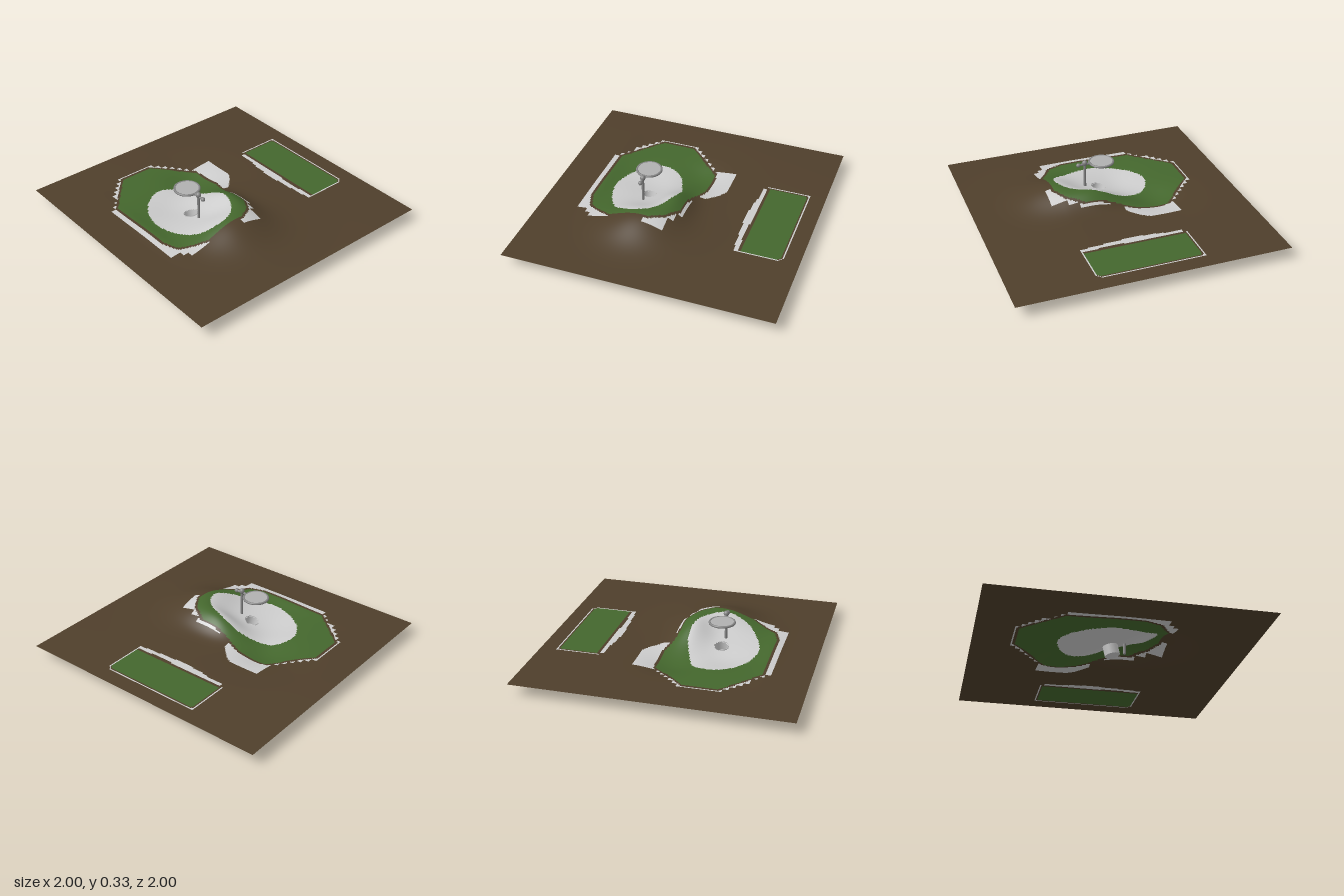
import * as THREE from 'three';

const STEP = 0.01, N = 200, BASE = 0.097;

const flat = (name, color) => {
  const m = new THREE.MeshStandardMaterial({ color, side: THREE.DoubleSide });
  m.name = name;
  return m;
};

// Hills and hollows: x, z, height, radius x, radius z behind, radius z in front
const BUMPS = [
  [-0.2, 0.36, 0.12, 0.27, 0.2, 0.26],
  [-0.03, 0.1, 0.1, 0.13, 0.2, 0.2],
  [0.01, -0.36, -0.043, 0.18, 0.17, 0.17],
  [-0.3, -0.18, -0.032, 0.22, 0.18, 0.17],
  [-0.66, 0, 0.015, 0.07, 0.3, 0.3],
];

function heightAt(x, z) {
  let y = BASE;
  for (const [cx, cz, h, rx, back, front] of BUMPS) {
    const rz = z < cz ? back : front;
    y += h * Math.exp(-(((x - cx) / rx) ** 2) - ((z - cz) / rz) ** 2);
  }
  return y;
}

// Outlines on the ground as x, z pairs
const GREEN = [[-0.41, -0.69], [-0.16, -0.69], [0.105, -0.44], [0.11, -0.2], [0.065, -0.04], [0.045, 0.08],
  [0.045, 0.2], [-0.03, 0.32], [-0.13, 0.38], [-0.43, 0.38], [-0.62, 0.27], [-0.66, 0.15], [-0.66, -0.4]];
const RIM = GREEN.map(([x, z]) => [-0.28 + (x + 0.28) * 1.05, -0.15 + (z + 0.15) * 1.03]);
const FRINGE = [[-0.44, -0.72], [-0.16, -0.72], [0.12, -0.47], [0.1, -0.1], [0.07, 0.24], [0, 0.36], [0, 0.44],
  [-0.16, 0.44], [-0.16, 0.4], [-0.52, 0.4], [-0.64, 0.36], [-0.64, 0.32], [-0.72, 0.32], [-0.72, -0.36], [-0.66, -0.44]];
const BUNKER = [[0.08, -0.48], [0.275, -0.48], [0.275, -0.25], [0.23, -0.17], [0.15, -0.09], [0.06, -0.09]];
const OVAL = [[-0.29, -0.4], [-0.15, -0.35], [-0.075, -0.19], [-0.03, -0.05], [-0.05, 0.13], [-0.14, 0.28],
  [-0.26, 0.33], [-0.42, 0.28], [-0.52, 0.13], [-0.56, -0.05], [-0.52, -0.21], [-0.42, -0.34]];
const TEE = [[0.57, -0.37], [0.58, -0.38], [0.85, -0.38], [0.86, -0.36], [0.86, 0.37], [0.84, 0.39], [0.57, 0.39]];
const TEE_RIM = [[0.55, -0.385], [0.865, -0.385], [0.87, 0.37], [0.85, 0.39], [0.55, 0.39], [0.54, 0.15], [0.55, 0]];
const TEE_FRINGE = [[0.55, -0.4], [0.88, -0.4], [0.88, 0.37], [0.84, 0.4], [0.52, 0.4], [0.5, 0.16], [0.49, 0],
  [0.5, -0.16], [0.52, -0.25], [0.52, -0.37], [0.55, -0.37]];

const smooth = (pts) => new THREE.CatmullRomCurve3(pts.map(([x, z]) => new THREE.Vector3(x, 0, z)), true)
  .getPoints(72).map((p) => [p.x, p.z]);
const OVAL_EDGE = smooth(OVAL);

function inside(poly, x, z) {
  let hit = false;
  for (let i = 0, j = poly.length - 1; i < poly.length; j = i++) {
    const [ax, az] = poly[i], [bx, bz] = poly[j];
    if ((az > z) !== (bz > z) && x < ((bx - ax) * (z - az)) / (bz - az) + ax) hit = !hit;
  }
  return hit;
}

const snap = (v) => (Math.floor(v / 0.04) + 0.5) * 0.04; // stepped edge of the fringe
const CUP = { x: -0.275, z: -0.02, r: 0.055 };

// Which ground zone a point belongs to; null is the cup opening
function zoneAt(x, z) {
  if (Math.hypot(x - CUP.x, z - CUP.z) < CUP.r - 0.004) return null;
  if (inside(OVAL_EDGE, x, z)) return 'puttingSurface';
  if (inside(GREEN, x, z)) return 'grass';
  if (inside(TEE, x, z)) return 'teeGrass';
  if (inside(RIM, x, z) || inside(TEE_RIM, x, z)) return 'soil';
  if (inside(BUNKER, x, z) || inside(FRINGE, snap(x), snap(z)) || inside(TEE_FRINGE, x, z)) return 'fringe';
  return 'soil';
}

// One shared height grid, divided into a mesh per zone
function buildGround(group, zoneMaterials) {
  const grid = new THREE.PlaneGeometry(2, 2, N, N).rotateX(-Math.PI / 2);
  const pos = grid.attributes.position;
  for (let i = 0; i < pos.count; i++) pos.setY(i, heightAt(pos.getX(i), pos.getZ(i)));
  grid.computeVertexNormals();
  const faces = {};
  for (const name in zoneMaterials) faces[name] = [];
  for (let r = 0; r < N; r++) {
    for (let c = 0; c < N; c++) {
      const zone = zoneAt(-1 + (c + 0.5) * STEP, -1 + (r + 0.5) * STEP);
      if (!zone) continue;
      const a = r * (N + 1) + c, b = a + N + 1;
      faces[zone].push(a, b, a + 1, b, b + 1, a + 1);
    }
  }
  for (const name in faces) {
    const geo = new THREE.BufferGeometry();
    geo.setAttribute('position', pos);
    geo.setAttribute('normal', grid.attributes.normal);
    geo.setIndex(faces[name]);
    add(group, name, geo, zoneMaterials[name]);
  }
}

function add(group, name, geo, mat, x = 0, y = 0, z = 0) {
  const mesh = new THREE.Mesh(geo, mat);
  mesh.name = name;
  mesh.position.set(x, y, z);
  group.add(mesh);
  return mesh;
}

export function createModel() {
  const model = new THREE.Group();
  const soil = flat('soil brown', 0x4f3f2b);
  const grass = flat('grass green', 0x44672d);
  const pale = flat('pale grey', 0xcccccc);
  const metal = flat('metal grey', 0x858585);
  const disc = flat('disc grey', 0xb0b0b0);

  buildGround(model, { soil, grass, teeGrass: grass, puttingSurface: pale, fringe: pale });

  // Cup sunk into the slope: wall and floor, open at the top
  const cup = new THREE.Group();
  cup.name = 'cup';
  cup.position.set(CUP.x, 0.055, -0.01);
  cup.rotation.x = -0.22;
  add(cup, 'cupWall', new THREE.CylinderGeometry(CUP.r, CUP.r, 0.08, 32, 1, true), pale);
  add(cup, 'cupFloor', new THREE.CircleGeometry(CUP.r, 32).rotateX(Math.PI / 2), pale, 0, -0.04, 0);
  model.add(cup);

  // Marker: pole, knob and round plate held out over the cup
  const marker = new THREE.Group();
  marker.name = 'marker';
  marker.position.set(-0.285, 0, 0.085);
  add(marker, 'pole', new THREE.CylinderGeometry(0.01, 0.01, 0.28, 16), metal, 0, 0.17, 0);
  add(marker, 'poleKnob', new THREE.SphereGeometry(0.02, 20, 14), metal, 0, 0.312, 0).scale.y = 1.1;
  add(marker, 'plate', new THREE.CylinderGeometry(0.092, 0.092, 0.012, 40), disc, 0, 0.3, -0.133);
  add(marker, 'plateRim', new THREE.TorusGeometry(0.091, 0.009, 10, 40).rotateX(Math.PI / 2), metal, 0, 0.3, -0.133);
  const arm = new THREE.CylinderGeometry(0.009, 0.009, 0.075, 12).rotateX(Math.PI / 2);
  add(marker, 'arm', arm, metal, 0, 0.3, 0);
  add(marker, 'armTip', new THREE.SphereGeometry(0.016, 16, 12), metal, 0, 0.3, 0.05).scale.z = 1.1;
  model.add(marker);

  return model;
}
